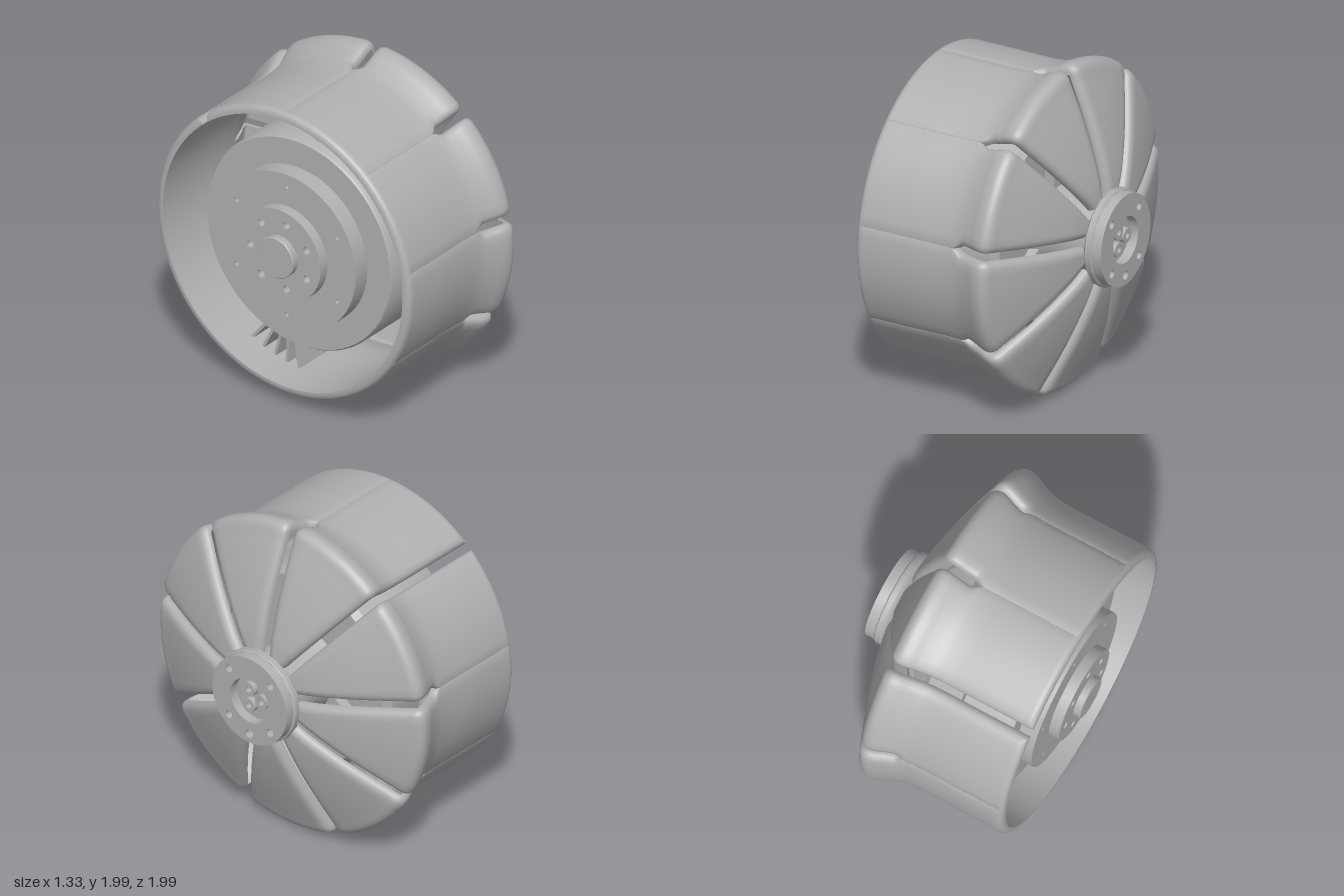
import * as THREE from 'three';
import { toCreasedNormals } from 'three/addons/utils/BufferGeometryUtils.js';

const DEG = Math.PI / 180;
const clamp = (v) => Math.min(1, Math.max(0, v));
// point around the x axis: angle 0 is -z, 90 degrees is up
const polar = (x, r, a) => new THREE.Vector3(x, r * Math.sin(a), -r * Math.cos(a));

// one 40 degree sector of the shell, with rolled edges along its slots
function petalGeometry(a0, a1, openLow, openHigh) {
  const curve = new THREE.CatmullRomCurve3([
    [-0.6, 0.92], [-0.3, 0.92], [-0.02, 0.92], [0.07, 0.93], [0.15, 0.957], [0.22, 0.988],
    [0.27, 0.995], [0.305, 0.975], [0.34, 0.9], [0.42, 0.7], [0.48, 0.52], [0.52, 0.37], [0.54, 0.25],
  ].map(([x, r]) => new THREE.Vector3(x, r, 0)), false, 'centripetal');
  const length = curve.getLength(), rows = 120, roll = 0.042, thick = 0.05;
  const us = [0, 0.003, 0.008];
  for (let i = 1; i <= rows; i++) us.push(i / rows);
  const edge = [0, 0.12, 0.4, 1];
  const inner = 11;
  const drop = (d, R) => (d >= R ? 0 : R - Math.sqrt(R * R - (R - d) ** 2));
  const pos = [], idx = [];
  let n = 0;
  for (const u of us) {
    const p = curve.getPointAt(u), t = curve.getTangentAt(u);
    const slot = (open) => (open ? 1 : Math.sqrt(clamp((p.x - 0.06) / 0.04)));
    const rollAt = (open) => roll * (open ? 1 : Math.max(0.04, clamp((p.x - 0.03) / 0.07)));
    const RL = rollAt(openLow), RH = rollAt(openHigh);
    const lo = a0 + 0.026 * slot(openLow) / p.y, hi = a1 - 0.026 * slot(openHigh) / p.y;
    const rimDrop = drop(u * length, 0.035);
    const cols = [];
    for (const e of edge) cols.push([lo + e * RL / p.y, drop(e * RL, RL)]);
    const s = lo + RL / p.y, f = hi - RH / p.y;
    for (let k = 1; k < inner; k++) cols.push([s + (f - s) * k / inner, 0]);
    for (const e of [...edge].reverse()) cols.push([hi - e * RH / p.y, drop(e * RH, RH)]);
    n = cols.length;
    const put = (a, depth) => pos.push(...polar(p.x + t.y * depth, p.y - t.x * depth, a));
    cols.forEach(([a, d]) => put(a, Math.max(d, rimDrop)));
    cols.reverse().forEach(([a]) => put(a, thick));
  }
  const ring = 2 * n, last = (us.length - 1) * ring;
  for (let r = 0; r < us.length - 1; r++) {
    for (let j = 0; j < ring; j++) {
      const a = r * ring + j, b = r * ring + (j + 1) % ring;
      idx.push(a, b, a + ring, b, b + ring, a + ring);
    }
  }
  for (let j = 0; j < n - 1; j++) { // end caps
    const a = j, b = j + 1, c = ring - 1 - j, d = ring - 2 - j;
    idx.push(a, c, b, b, c, d);
    idx.push(last + a, last + b, last + c, last + b, last + d, last + c);
  }
  const g = new THREE.BufferGeometry();
  g.setAttribute('position', new THREE.Float32BufferAttribute(pos, 3));
  g.setIndex(idx);
  return toCreasedNormals(g, 50 * DEG);
}

// body of revolution about x, from [x, radius] pairs
function turned(points, segments = 64) {
  const g = new THREE.LatheGeometry(points.map(([x, r]) => new THREE.Vector2(r, x)), segments);
  g.rotateZ(-Math.PI / 2);
  return toCreasedNormals(g, 35 * DEG);
}

// round plate across x with round holes given as [right, up, radius]
function drilled(radius, x0, x1, holes, segments = 24) {
  const shape = new THREE.Shape().absarc(0, 0, radius, 0, Math.PI * 2);
  for (const [h, v, r] of holes) shape.holes.push(new THREE.Path().absarc(h, v, r, 0, Math.PI * 2, true));
  const g = new THREE.ExtrudeGeometry(shape, { depth: x1 - x0, bevelEnabled: false, curveSegments: segments });
  g.rotateY(Math.PI / 2).translate(x0, 0, 0);
  return toCreasedNormals(g, 35 * DEG);
}

export function createModel() {
  const model = new THREE.Group();
  model.name = 'slottedDrum';
  const body = new THREE.Group();
  body.name = 'drum';
  body.position.y = 1;
  model.add(body);
  const grey = new THREE.MeshStandardMaterial({ color: 0xb0b0b0 });
  grey.name = 'grey';
  const add = (name, geometry, parent = body) => {
    const m = new THREE.Mesh(geometry, grey);
    m.name = name;
    parent.add(m);
    return m;
  };

  // nine shell sectors; the gap at 50 degrees runs the full length
  for (let i = 0; i < 9; i++) {
    add('shellPetal', petalGeometry((50 + 40 * i) * DEG, (90 + 40 * i) * DEG, i === 0, i === 8));
  }

  // front hub with bolt holes and a recess holding three screws
  add('hubFlange', turned([[0.535, 0], [0.535, 0.26], [0.55, 0.285], [0.56, 0.295], [0.592, 0.295], [0.6, 0.285], [0.6, 0]], 16));
  const hubHoles = [[0, 0, 0.142], [0, -0.222, 0.028]];
  for (const h of [-1, 1]) for (const v of [-1, 1]) hubHoles.push([0.155 * h, 0.155 * v, 0.025]);
  add('hubCap', drilled(0.28, 0.6, 0.66, hubHoles));
  for (const [h, v] of [[-0.03, 0.052], [-0.03, -0.055], [0.065, 0]]) {
    const screw = add('hubScrew', drilled(0.045, 0.6, 0.635, [[0, 0, 0.02]], 12));
    screw.position.set(0, v, -h);
  }

  // motor inside, stepped towards the back
  add('motorBody', turned([
    [-0.45, 0], [-0.45, 0.665], [-0.435, 0.675], [-0.12, 0.675], [-0.1, 0.64], [0.12, 0.62],
    [0.16, 0.58], [0.16, 0.26], [0.3, 0.22], [0.54, 0.22], [0.54, 0],
  ]));
  const ringHoles = [];
  for (let i = 0; i < 6; i++) {
    const a = (30 + 60 * i) * DEG;
    ringHoles.push([0.42 * Math.cos(a), 0.42 * Math.sin(a), 0.013]);
  }
  add('rearRing', drilled(0.5, -0.56, -0.45, ringHoles, 32));
  const plateHoles = [];
  for (let i = 0; i < 7; i++) {
    const a = i * 2 * Math.PI / 7;
    plateHoles.push([0.215 * Math.cos(a), 0.215 * Math.sin(a), 0.024]);
  }
  add('rearPlate', drilled(0.295, -0.625, -0.56, plateHoles));
  add('rearShaft', turned([[-0.67, 0], [-0.67, 0.125], [-0.665, 0.13], [-0.6, 0.13]], 32));

  // three mounting arms behind the slots, each with two screws
  for (const deg of [90, 210, 330]) {
    const arm = new THREE.Group();
    arm.name = 'mountingArm';
    arm.rotation.x = (deg - 90) * DEG;
    add('armBar', new THREE.BoxGeometry(0.06, 0.36, 0.12).translate(0.19, 0.38, 0), arm);
    for (const [y, r] of [[0.43, 0.032], [0.34, 0.025]]) {
      const s = add('armScrew', drilled(r, 0.22, 0.25, [[0, 0, r * 0.5]], 10), arm);
      s.position.y = y;
    }
    body.add(arm);
  }

  // two fans of thin ribs holding the motor inside the shell
  for (const mid of [105, 285]) {
    for (let k = -2; k <= 2; k++) {
      const rib = add('supportRib', new THREE.BoxGeometry(0.26, 0.23, 0.018));
      const a = (mid + 5 * k) * DEG;
      rib.position.copy(polar(-0.25, 0.77, a));
      rib.rotation.x = a - Math.PI / 2 + k * 0.12;
    }
  }
  return model;
}
